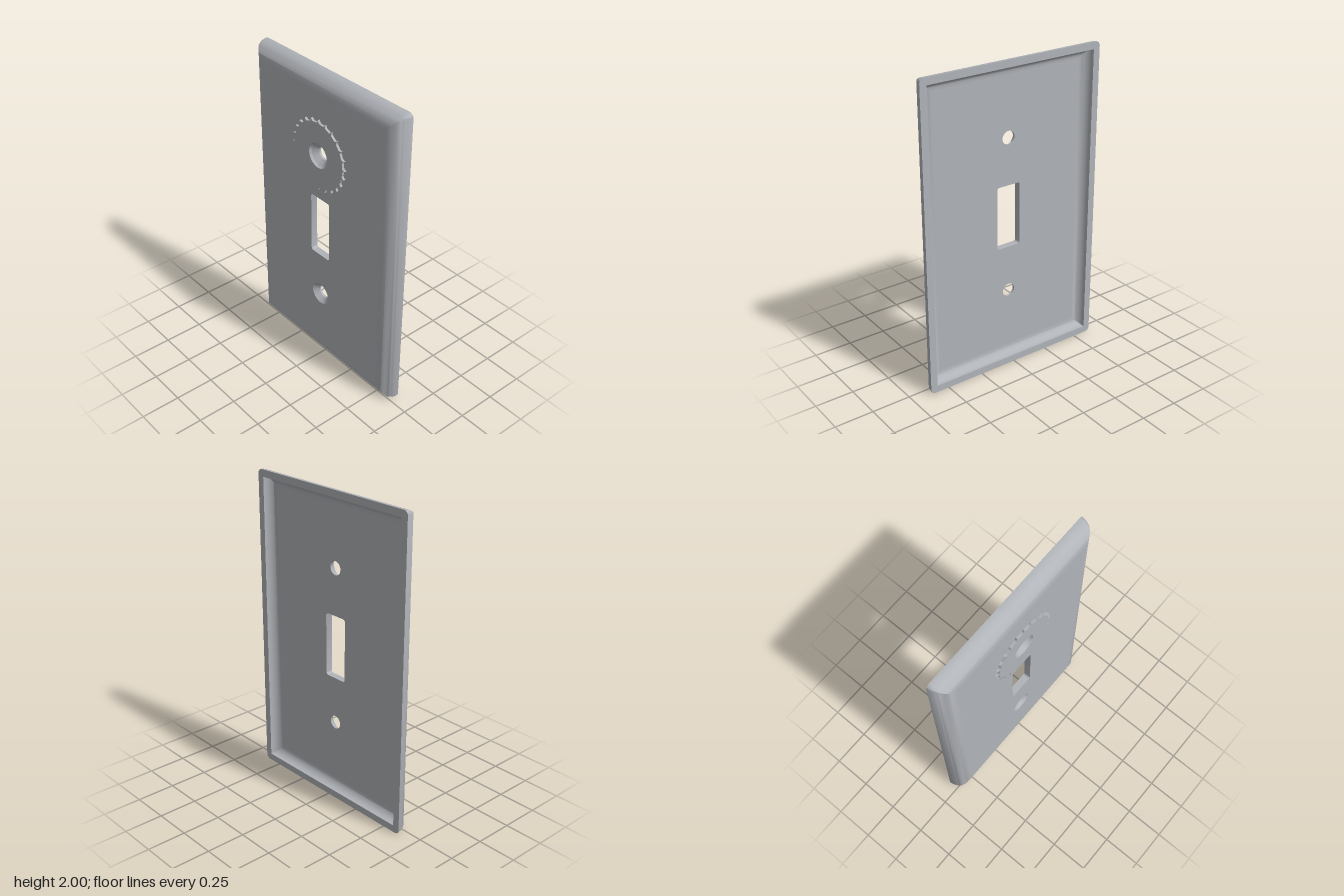
import * as THREE from 'three';
import { toCreasedNormals } from 'three/addons/utils/BufferGeometryUtils.js';

const W = 0.627, FRONT = 0.045, BACK = -0.06, FLOOR = 0, GEAR = 0.06;

// Rounded rectangle outline, counter-clockwise seen from the front
function rectPoints(hw, hh, cy, r) {
  const pts = [];
  [[1, 1], [-1, 1], [-1, -1], [1, -1]].forEach(([sx, sy], k) => {
    for (let i = 0; i <= 6; i++) {
      const a = (k + i / 6) * Math.PI / 2;
      pts.push(new THREE.Vector2(sx * (hw - r) + r * Math.cos(a), cy + sy * (hh - r) + r * Math.sin(a)));
    }
  });
  return pts;
}

function circlePoints(r, cy, n = 48) {
  return Array.from({ length: n }, (_, i) => {
    const a = i / n * Math.PI * 2;
    return new THREE.Vector2(r * Math.cos(a), cy + r * Math.sin(a));
  });
}

// Skin between closed outlines listed front to back; inward flips it for holes
function loft(rings, inward = false, crease = 0.6) {
  const pos = [], idx = [], n = rings[0].pts.length;
  for (const { pts, z } of rings) for (const p of pts) pos.push(p.x, p.y, z);
  for (let k = 0; k < rings.length - 1; k++) {
    for (let i = 0; i < n; i++) {
      const a = k * n + i, b = k * n + (i + 1) % n, c = a + n, d = b + n;
      if (inward) idx.push(a, b, c, b, d, c);
      else idx.push(a, c, b, b, c, d);
    }
  }
  const g = new THREE.BufferGeometry();
  g.setAttribute('position', new THREE.Float32BufferAttribute(pos, 3));
  g.setIndex(idx);
  return toCreasedNormals(g, crease);
}

// Flat face with holes at depth z
function face(outline, holes, z) {
  const s = new THREE.Shape(outline);
  s.holes = holes.map((h) => new THREE.Path(h));
  return new THREE.ShapeGeometry(s).translate(0, 0, z);
}

export function createModel() {
  const grey = new THREE.MeshStandardMaterial({ color: 0xb0b3b8 });
  grey.name = 'satin grey';
  const model = new THREE.Group();
  model.name = 'switchPlate';
  const add = (name, geometry) => {
    const m = new THREE.Mesh(geometry, grey);
    m.name = name;
    model.add(m);
    return m;
  };

  // Rounded outer edge, flat back rim and hollow inner edge
  const ring = (inset, z) => ({ pts: rectPoints(W - inset, 1 - inset, 1, Math.max(0.03 - inset, 0)), z });
  const rings = [], N = 14;
  for (let i = 0; i <= N; i++) {
    const t = i / N * Math.PI / 2;
    rings.push(ring(0.105 * (1 - Math.sin(t)), BACK + 0.105 * Math.cos(t)));
  }
  for (let i = N; i >= 0; i--) {
    const t = i / N * Math.PI / 2;
    rings.push(ring(0.105 - 0.06 * Math.sin(t), BACK + 0.06 * Math.cos(t)));
  }
  add('plateEdge', loft(rings));

  // Front and back faces with the openings
  const upper = 1.51, lower = 0.495, sink = 0.073, bore = 0.043;
  const panel = rectPoints(W - 0.105, 0.895, 1, 0);
  const corners = [panel[0], panel[7], panel[14], panel[21]];
  const slot = rectPoints(0.083, 0.205, 1.003, 0.015);
  add('plateFront', face(corners, [slot, circlePoints(sink, upper), circlePoints(sink, lower)], FRONT));
  const back = face(corners, [slot, circlePoints(bore, upper), circlePoints(bore, lower)], 0);
  add('plateBack', back.rotateY(Math.PI).translate(0, 0, FLOOR));

  // Switch slot and countersunk screw holes
  add('switchSlot', loft([{ pts: slot, z: FRONT }, { pts: slot, z: FLOOR }], true));
  for (const [name, y] of [['upperScrewHole', upper], ['lowerScrewHole', lower]]) {
    add(name, loft([
      { pts: circlePoints(sink, y), z: FRONT },
      { pts: circlePoints(bore, y), z: 0.014 },
      { pts: circlePoints(bore, y), z: FLOOR },
    ], true));
  }

  // Thin toothed disc around the upper hole
  const teeth = 24, gear = [];
  const profile = [[-7.5, 0.212], [-5.5, 0.212], [-3.5, 0.212], [-1.3, 0.218], [0, 0.232],
    [1.3, 0.218], [3.5, 0.212], [5.5, 0.212]];
  for (let k = 0; k < teeth; k++) {
    for (const [deg, r] of profile) {
      const a = THREE.MathUtils.degToRad(k * 360 / teeth + deg);
      gear.push(new THREE.Vector2(r * Math.cos(a), upper + r * Math.sin(a)));
    }
  }
  const gearHole = circlePoints(0.08, upper);
  add('toothedDiscFront', face(gear, [gearHole], GEAR));
  add('toothedDiscRim', loft([{ pts: gear, z: GEAR }, { pts: gear, z: FRONT }], false, 0.4));
  add('toothedDiscHole', loft([{ pts: gearHole, z: GEAR }, { pts: circlePoints(sink, upper), z: FRONT }], true));

  return model;
}
